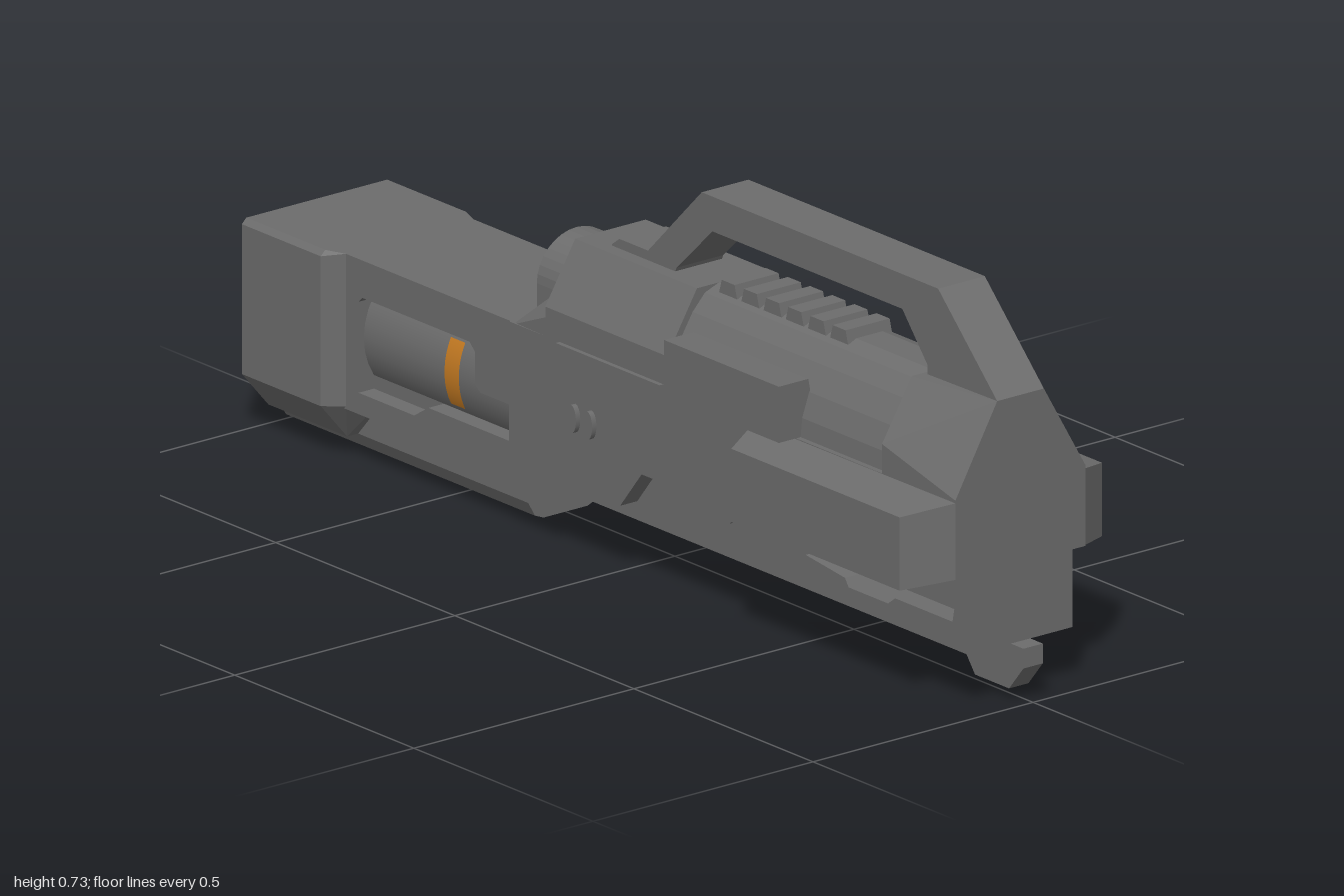
import * as THREE from 'three';
import { ConvexGeometry } from 'three/addons/geometries/ConvexGeometry.js';

const gunmetal = new THREE.MeshStandardMaterial({ color: 0x6c6c6c });
gunmetal.name = 'gunmetal';
const orange = new THREE.MeshStandardMaterial({ color: 0xc47a22 });
orange.name = 'orange';

const toPoints = (list) => list.map(([a, b]) => new THREE.Vector2(a, b));

export function createModel() {
  const group = new THREE.Group();

  const add = (name, geometry, material = gunmetal) => {
    const mesh = new THREE.Mesh(geometry, material);
    mesh.name = name;
    group.add(mesh);
    return mesh;
  };

  // Side profile of [z, y] points, extruded from x0 to x1
  const slab = (name, profile, x0, x1, hole, material) => {
    const shape = new THREE.Shape(toPoints(profile));
    if (hole) shape.holes.push(new THREE.Path(toPoints(hole)));
    const geo = new THREE.ExtrudeGeometry(shape, { depth: x1 - x0, bevelEnabled: false });
    geo.rotateY(-Math.PI / 2).translate(x1, 0, 0);
    return add(name, geo, material);
  };

  // Half section of [x, y] points, mirrored and extruded from z0 to z1
  const prism = (name, half, z0, z1) => {
    const mirrored = half.map(([x, y]) => [-x, y]).reverse();
    const shape = new THREE.Shape(toPoints([...half, ...mirrored]));
    const geo = new THREE.ExtrudeGeometry(shape, { depth: z1 - z0, bevelEnabled: false });
    geo.translate(0, 0, z0);
    return add(name, geo);
  };

  // Convex block between two mirrored half sections
  const taper = (name, halfA, zA, halfB, zB) => {
    const pts = [];
    for (const s of [-1, 1]) {
      halfA.forEach(([x, y]) => pts.push(new THREE.Vector3(s * x, y, zA)));
      halfB.forEach(([x, y]) => pts.push(new THREE.Vector3(s * x, y, zB)));
    }
    return add(name, new ConvexGeometry(pts));
  };

  // Main shell with its stepped lower edge
  slab('mainShell', [
    [0.965, 0.25], [0.93, 0.24], [0.42, 0.24], [0.4, 0.25], [0.335, 0.185], [0.15, 0.185],
    [0.135, 0.215], [0.1, 0.215], [0.04, 0.14], [-0.16, 0.14], [-0.16, 0.105],
    [-0.28, 0.105], [-0.28, 0.395], [0.965, 0.395],
  ], -0.148, 0.148);

  // Narrow lower body with a slot through it
  slab('lowerBody', [[0.965, 0.105], [0.965, 0.3], [-0.2, 0.3], [-0.2, 0.105]], -0.118, 0.118, [
    [0.925, 0.18], [0.51, 0.18], [0.51, 0.168], [0.62, 0.155], [0.63, 0.14],
    [0.74, 0.14], [0.76, 0.155], [0.92, 0.155],
  ]);

  // Upper body: nose, receiver and rear housing
  const wide = [[0.148, 0.39], [0.148, 0.45], [0.08, 0.562]];
  taper('noseBlock', [[0.148, 0.39], [0.148, 0.4], [0.053, 0.565]], 0.965, wide, 0.76);
  prism('receiver', [[0.138, 0.39], [0.134, 0.43], [0.118, 0.475], [0.09, 0.52], [0.062, 0.55], [0.03, 0.562]], 0.1, 0.8);
  prism('rearHousing', wide, -0.18, 0.16);
  taper('rearSlope', [[0.148, 0.39], [0.148, 0.43], [0.11, 0.475]], -0.18, [[0.145, 0.39], [0.12, 0.396]], -0.275);

  // Arched scope end
  const arch = [[0.09, 0.39], [0.09, 0.455]];
  for (let i = 1; i <= 8; i++) {
    const a = (i / 8) * Math.PI / 2;
    arch.push([0.09 * Math.cos(a), 0.455 + 0.085 * Math.sin(a)]);
  }
  prism('scopeEnd', arch, -0.275, -0.17);

  // Carry handle
  slab('carryHandle', [
    [0.965, 0.5], [0.965, 0.565], [0.8, 0.73], [0.14, 0.73], [-0.01, 0.58],
    [-0.09, 0.58], [-0.11, 0.565], [-0.11, 0.5],
  ], -0.053, 0.053, [
    [0.77, 0.55], [0.77, 0.58], [0.7, 0.665], [0.17, 0.665], [0.07, 0.57], [0.06, 0.55],
  ]);

  // Toothed rail under the handle
  for (let i = 0; i < 6; i++) {
    const z = 0.21 + i * 0.062;
    slab('railTooth', [[z - 0.025, 0.555], [z - 0.018, 0.58], [z + 0.018, 0.58], [z + 0.025, 0.555]], -0.05, 0.05);
  }

  for (const s of [-1, 1]) {
    const side = s > 0 ? 'left' : 'right';

    // Flared cheek block
    const cheek = [];
    for (const [x, y, z] of [
      [0.14, 0.255, 0.965], [0.14, 0.395, 0.965], [0.14, 0.255, 0.4], [0.14, 0.395, 0.4],
      [0.23, 0.235, 0.91], [0.23, 0.372, 0.91], [0.23, 0.235, 0.44], [0.23, 0.372, 0.44],
      [0.148, 0.252, 0.965], [0.148, 0.395, 0.965],
    ]) cheek.push(new THREE.Vector3(s * x, y, z));
    add(side + 'Cheek', new ConvexGeometry(cheek));

    // Side knob, larger on one side
    const [reach, top] = s > 0 ? [0.168, 0.49] : [0.187, 0.5];
    const knob = [];
    for (const z of [0.2, 0.52]) {
      for (const [x, y] of [[0.1, 0.395], [reach, 0.395], [reach, top], [0.12, top]]) {
        knob.push(new THREE.Vector3(s * x, y, z));
      }
    }
    add(side + 'Knob', new ConvexGeometry(knob));

    // Stock wall with a window onto the inner tube
    const [x0, x1] = s > 0 ? [0.11, 0.145] : [-0.145, -0.11];
    slab(side + 'StockWall', [[-0.27, 0.105], [-0.27, 0.395], [-0.8, 0.395], [-0.8, 0.105]], x0, x1, [
      [-0.285, 0.17], [-0.51, 0.17], [-0.55, 0.145], [-0.705, 0.145], [-0.705, 0.315],
      [-0.695, 0.325], [-0.395, 0.325], [-0.38, 0.31], [-0.38, 0.25], [-0.365, 0.238], [-0.285, 0.238],
    ]);

    // Orange marker band on the inner tube
    const band = new THREE.CylinderGeometry(0.137, 0.137, 0.04, 12, 1, true, Math.PI / 2 - 0.47, 0.94);
    band.rotateX(Math.PI / 2);
    if (s < 0) band.rotateZ(Math.PI);
    band.translate(0, 0.245, -0.455);
    add(side + 'Marker', band, orange);
  }

  // Stock core and the rounded inner tube
  prism('stockCore', [[0.11, 0.105], [0.11, 0.395]], -0.8, -0.27);
  const tube = new THREE.CylinderGeometry(0.133, 0.133, 0.45, 32);
  tube.rotateX(Math.PI / 2).translate(0, 0.245, -0.5);
  add('innerTube', tube);

  // Flared butt end
  const butt = [[0.11, 0.035], [0.17, 0.105], [0.17, 0.385], [0.16, 0.395]];
  prism('buttEnd', butt, -1, -0.78);
  taper('buttFlare', butt, -0.78, [[0.1, 0.08], [0.145, 0.11], [0.145, 0.395]], -0.74);

  // Rounded tube under the stock
  prism('underTube', [[0.05, 0], [0.07, 0.008], [0.085, 0.035], [0.085, 0.075], [0.075, 0.095], [0.055, 0.107]], -1, -0.305);

  // Small foot under the nose
  slab('noseFoot', [
    [1, 0.105], [1, 0.068], [0.96, 0.02], [0.865, 0.02], [0.83, 0.066], [0.665, 0.066], [0.65, 0.08], [0.65, 0.106],
  ], -0.022, 0.022);

  // Control plate with two buttons on one side, an orange dot on the other
  slab('controlPlate', [
    [0.15, 0.215], [0.1, 0.215], [0.04, 0.14], [-0.15, 0.14], [-0.17, 0.17], [-0.17, 0.36], [-0.14, 0.395], [0.15, 0.395],
  ], -0.157, -0.14);
  for (const z of [-0.04, -0.085]) {
    const button = new THREE.CylinderGeometry(0.014, 0.014, 0.012, 16);
    button.rotateZ(Math.PI / 2).scale(1, 1.9, 1).translate(-0.161, 0.27, z);
    add('button', button);
  }
  slab('indicator', [[0.1, 0.258], [0.1, 0.275], [0.087, 0.275], [0.087, 0.258]], 0.145, 0.15, null, orange);

  return group;
}
